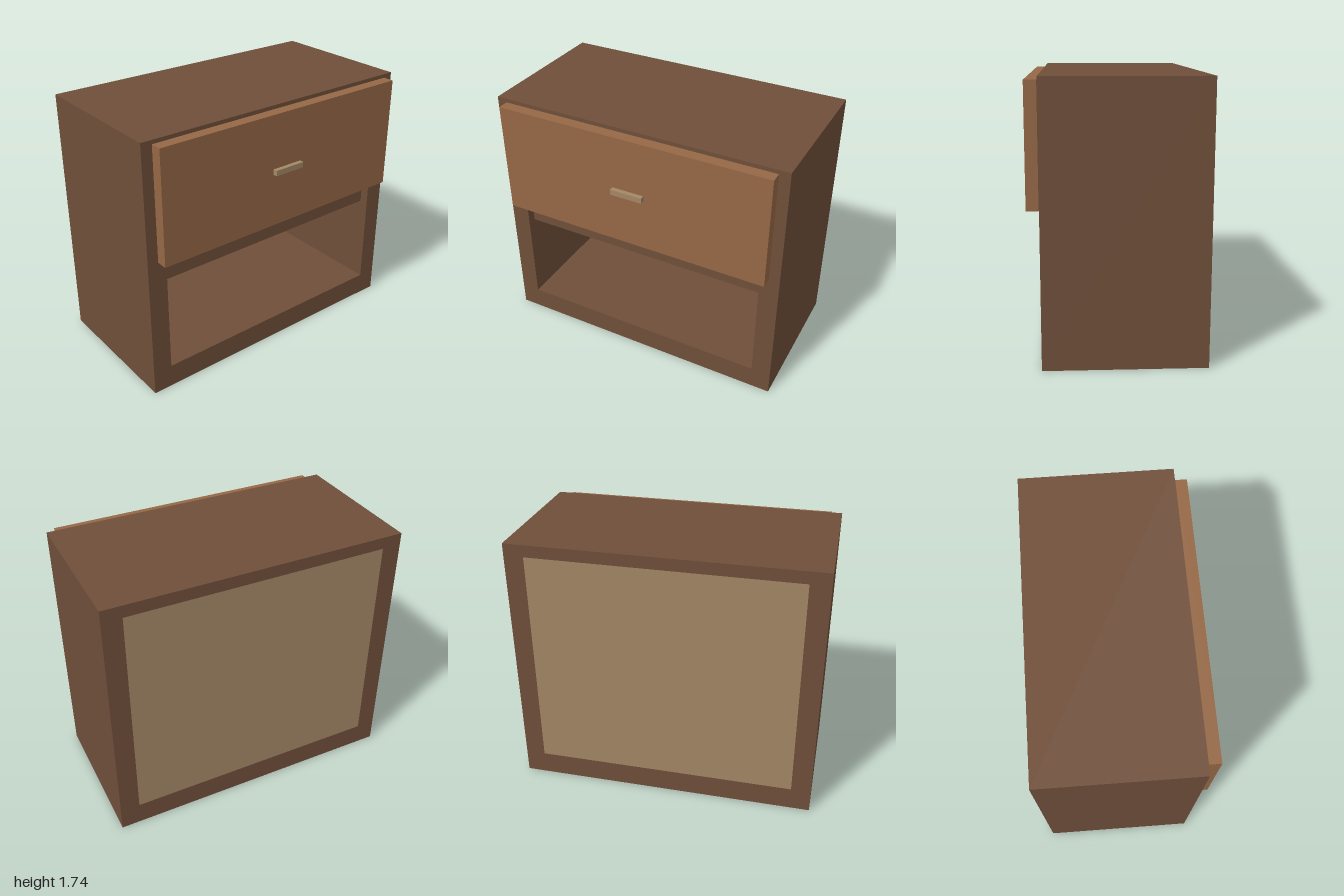
import * as THREE from 'three';

export function createModel() {
  const group = new THREE.Group();
  group.name = 'nightstand';

  const material = (name, color) => {
    const m = new THREE.MeshStandardMaterial({ color });
    m.name = name;
    return m;
  };
  const darkWood = material('dark wood', 0x704f3a);
  const drawerWood = material('drawer wood', 0x966846);
  const paleWood = material('pale wood', 0xa48766);

  // Adds a box given its extents on each axis
  const box = (name, mat, [x0, x1], [y0, y1], [z0, z1], parent = group) => {
    const mesh = new THREE.Mesh(new THREE.BoxGeometry(x1 - x0, y1 - y0, z1 - z0), mat);
    mesh.position.set((x0 + x1) / 2, (y0 + y1) / 2, (z0 + z1) / 2);
    mesh.name = name;
    parent.add(mesh);
    return mesh;
  };
  const rectangle = (path, x, y0, y1) =>
    path.moveTo(-x, y0).lineTo(x, y0).lineTo(x, y1).lineTo(-x, y1).closePath();

  const back = -0.555, front = 0.445, inner = 0.87, floor = 0.155, ceiling = 1.655;

  // Cabinet shell: one frame open through its depth
  const outline = rectangle(new THREE.Shape(), 1, 0, 1.735);
  outline.holes.push(rectangle(new THREE.Path(), inner, floor, ceiling));
  const shell = new THREE.Mesh(
    new THREE.ExtrudeGeometry(outline, { depth: front - back, bevelEnabled: false }), darkWood);
  shell.position.z = back;
  shell.name = 'cabinetShell';
  group.add(shell);

  // Back panel, set flush, and the recessed shelf
  box('backPanel', paleWood, [-inner, inner], [floor, ceiling], [back, back + 0.07]);
  box('shelf', darkWood, [-inner, inner], [0.77, 0.905], [back + 0.07, 0.385]);

  // Runners under the drawer
  for (const [name, x] of [['leftRunner', 0.43], ['rightRunner', -0.69]])
    box(name, paleWood, [x, x + 0.26], [0.905, 0.955], [-0.45, 0.385]);

  // Drawer: open tray, front board and handle
  const drawer = new THREE.Group();
  drawer.name = 'drawer';
  group.add(drawer);
  const trayBack = -0.45, boardBack = 0.45;
  box('drawerBottom', drawerWood, [-0.84, 0.84], [0.957, 1.0], [trayBack, boardBack], drawer);
  for (const [name, x] of [['drawerLeftSide', 0.79], ['drawerRightSide', -0.84]])
    box(name, drawerWood, [x, x + 0.05], [1.0, 1.57], [trayBack, boardBack], drawer);
  box('drawerBack', drawerWood, [-0.79, 0.79], [1.0, 1.57], [trayBack, trayBack + 0.05], drawer);
  box('drawerFront', drawerWood, [-0.93, 0.93], [0.957, 1.712], [boardBack, 0.525], drawer);
  box('handle', paleWood, [-0.11, 0.11], [1.317, 1.354], [0.525, 0.555], drawer);

  return group;
}
